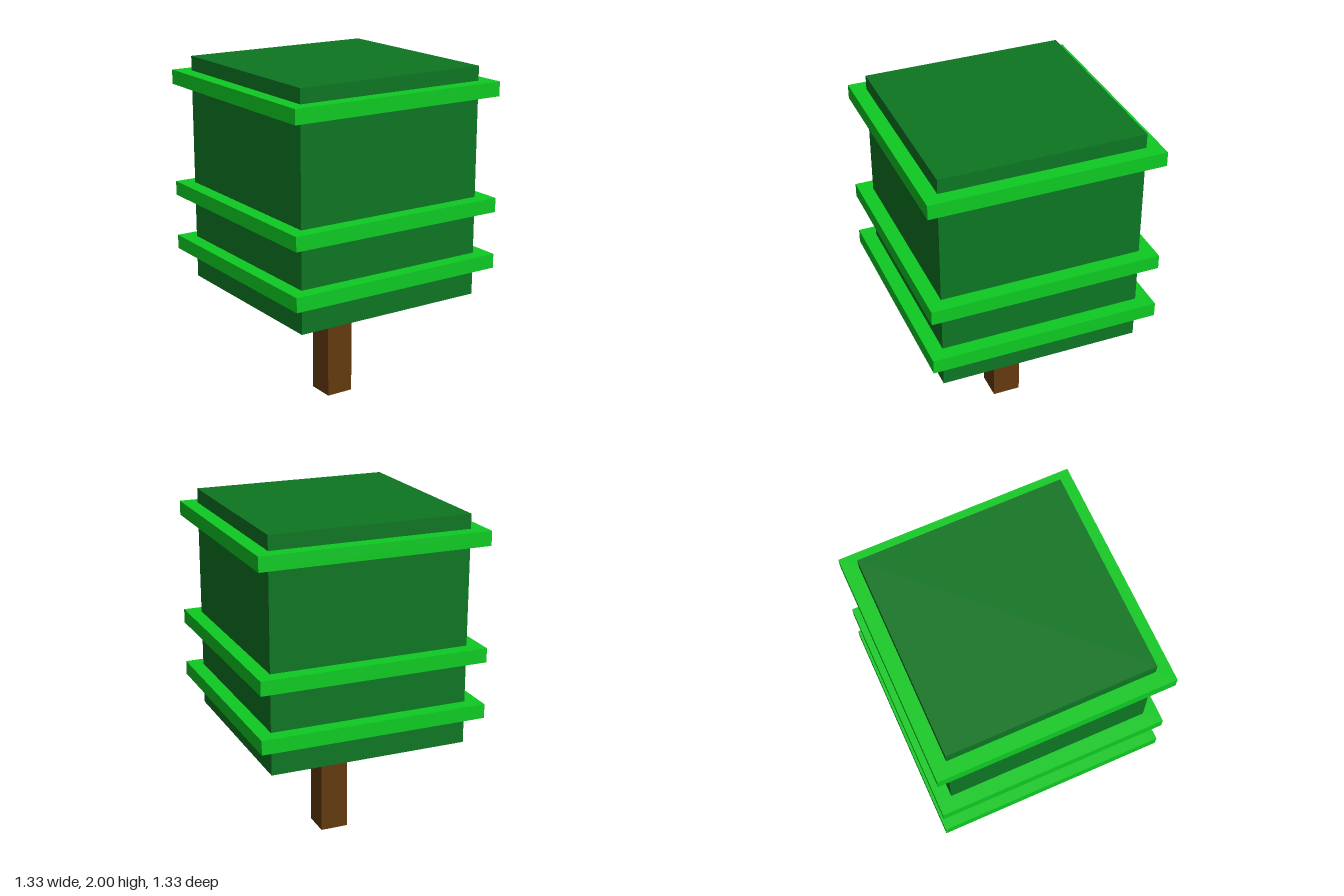
import * as THREE from 'three';

const U = 1 / 12; // block unit: the tree is 24 units tall

export function createModel() {
  const tree = new THREE.Group();
  tree.name = 'blockTree';

  const bark = new THREE.MeshStandardMaterial({ color: 0x633a0e });
  bark.name = 'bark brown';
  const leaf = new THREE.MeshStandardMaterial({ color: 0x0d7622 });
  leaf.name = 'leaf green';
  const bright = new THREE.MeshStandardMaterial({ color: 0x0eca23 });
  bright.name = 'bright green';

  // Square block standing on a given height, sizes in block units
  const addBlock = (name, width, bottom, height, material) => {
    const geometry = new THREE.BoxGeometry(width * U, height * U, width * U);
    const mesh = new THREE.Mesh(geometry, material);
    mesh.name = name;
    mesh.position.y = (bottom + height / 2) * U;
    tree.add(mesh);
  };

  addBlock('trunk', 2, 0, 8, bark);
  addBlock('foliage', 14, 8, 16, leaf);

  // Protruding bands around the foliage
  [10, 14, 22].forEach((bottom, i) => addBlock(`leafBand${i + 1}`, 16, bottom, 1, bright));

  return tree;
}
